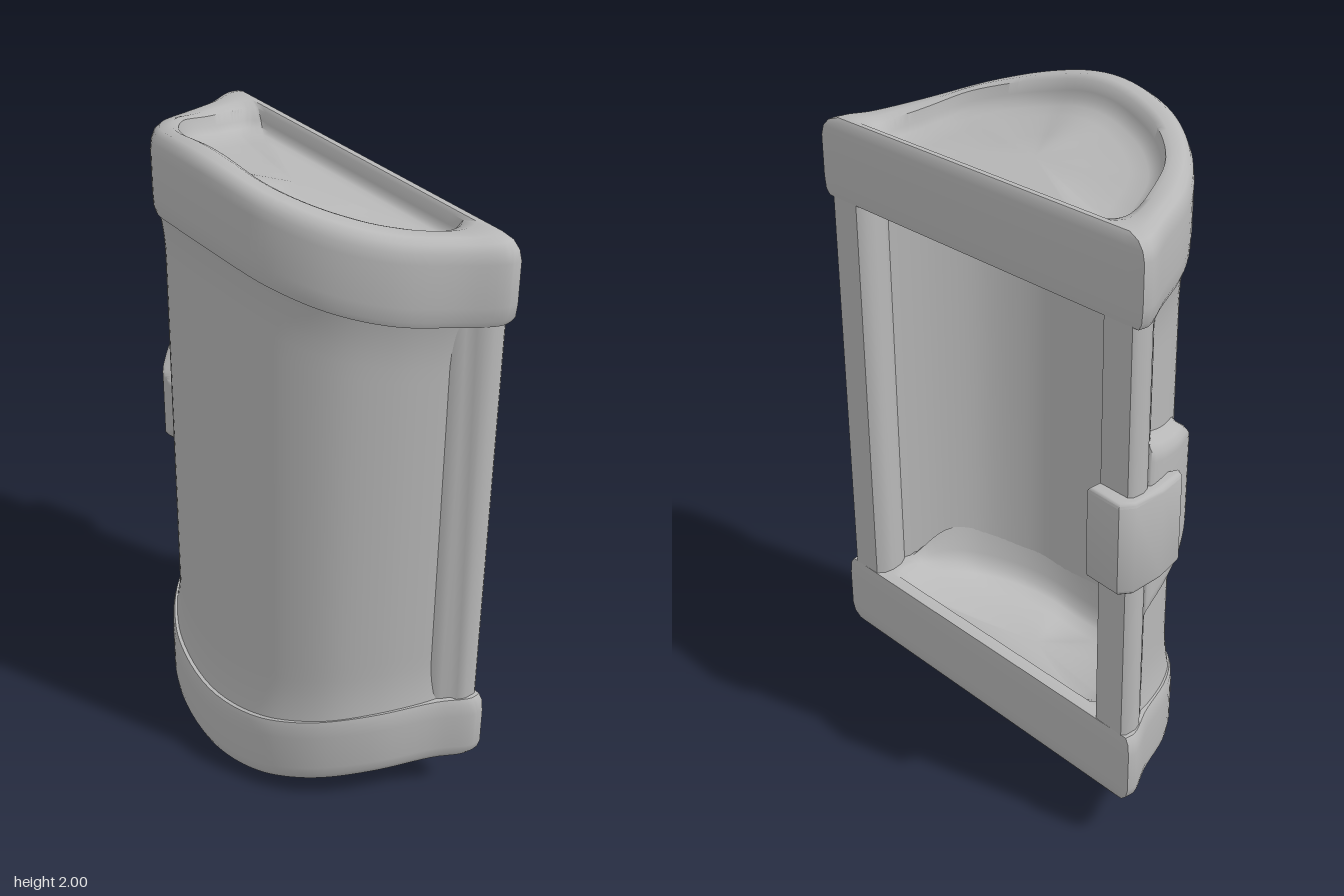
import * as THREE from 'three';
import { toCreasedNormals } from 'three/addons/utils/BufferGeometryUtils.js';

const shellGrey = new THREE.MeshStandardMaterial({ color: 0xb8b8b8 });
shellGrey.name = 'shellGrey';

// Symmetric horizontal curve from +x round the front to -x, given its +x half (front centre last)
function arc(half) {
  const left = half.slice(0, -1).reverse().map(([x, z]) => [-x, z]);
  return new THREE.CatmullRomCurve3(
    [...half, ...left].map(([x, z]) => new THREE.Vector3(x, 0, z)), false, 'centripetal');
}
const outerArc = arc([[0.63, -0.265], [0.63, -0.232], [0.575, -0.13], [0.5, 0.03],
  [0.4, 0.155], [0.3, 0.228], [0.2, 0.27], [0, 0.297]]);
const innerArc = arc([[0.43, -0.222], [0.455, -0.19], [0.46, -0.14], [0.43, -0.05],
  [0.38, 0.055], [0.27, 0.145], [0.15, 0.19], [0, 0.203]]);
const wallArc = arc([[0.56, -0.2], [0.53, -0.1], [0.48, 0.01], [0.4, 0.12],
  [0.3, 0.195], [0.2, 0.238], [0, 0.265]]);

// The rims arch upward (and downward) towards the front centre
const lift = (x) => 0.14 * Math.pow(Math.max(0, 1 - (x / 0.6) ** 2), 1.5);

// Surface through a grid of points: grid[i][j] = [x, y, z]
function loft(name, grid, flip) {
  const n = grid[0].length, index = [];
  for (let i = 0; i < grid.length - 1; i++) {
    for (let j = 0; j < n - 1; j++) {
      const a = i * n + j, b = a + n, c = b + 1, d = a + 1;
      if (flip) index.push(a, d, b, b, d, c);
      else index.push(a, b, d, b, c, d);
    }
  }
  const g = new THREE.BufferGeometry();
  g.setAttribute('position', new THREE.Float32BufferAttribute(grid.flat(2), 3));
  g.setIndex(index);
  return named(name, toCreasedNormals(g, 0.8));
}

function named(name, geometry) {
  const mesh = new THREE.Mesh(geometry, shellGrey);
  mesh.name = name;
  return mesh;
}

// D-shaped rim with a recessed dish; side = 1 for the top, -1 for the bottom
function makeRim(name, side) {
  const loop = [];
  const N = 72, M = 24;
  for (let i = 0; i <= N; i++) {
    const o = outerArc.getPoint(i / N), p = innerArc.getPoint(i / N);
    loop.push({ o, p, rise: lift(o.x), front: THREE.MathUtils.smoothstep(o.z, -0.15, 0.1) });
  }
  for (let i = 1; i <= M; i++) {
    const s = 2 * i / M - 1;
    loop.push({ o: new THREE.Vector3(0.63 * s, 0, -0.265),
      p: new THREE.Vector3(0.43 * s, 0, -0.222), rise: 0, front: 0 });
  }
  // Each row: outer-to-inner blend, height, scale towards the dish centre, fillet drop at the front
  const rows = [
    [1, 0.06, 0, 0], [1, 0.055, 0.4, 0], [1, 0.045, 0.75, 0], [1, 0.02, 0.93, 0], [1, 0, 1, 0],
    [0.85, 0, 1, -0.04], [0.7, 0, 1, -0.12], [0.35, 0, 1, 0],
    [0.08, 0.002, 1, 0], [0.02, 0.02, 1, 0], [0, 0.06, 1, 0], [0, 0.18, 1, 0],
    [0.04, 0.208, 1, 0], [0.14, 0.229, 1, 0], [0.32, 0.24, 1, 0], [0.7, 0.24, 1, 0],
    [0.9, 0.23, 1, 0], [1, 0.2, 1, 0],
    [1, 0.182, 0.97, 0], [1, 0.17, 0.9, 0], [1, 0.165, 0.75, 0], [1, 0.16, 0.4, 0], [1, 0.16, 0, 0],
  ];
  const grid = loop.map(({ o, p, rise, front }) => rows.map(([w, h, k, drop]) => {
    const q = o.clone().lerp(p, w);
    const y = 1.622 + h + drop * front + rise * k + 0.06 * (1 - k);
    return [q.x * k, side > 0 ? y : 2 - y, (q.z + 0.03) * k - 0.03];
  }));
  return loft(name, grid, side > 0);
}

// Point on the wall at parameter t, pushed outward by off
function wallPoint(t, y, off) {
  const p = wallArc.getPoint(t), d = wallArc.getTangent(t);
  return [p.x + d.z * off, y, p.z - d.x * off];
}

// Curved front wall, flaring slightly into the rims
function makeWall(name, off, flip) {
  const grid = [];
  for (let i = 0; i <= 64; i++) {
    const t = i / 64, top = 0.635 + lift(wallArc.getPoint(t).x);
    const row = [];
    for (let j = 0; j <= 32; j++) {
      const v = Math.sin((j / 32 - 0.5) * Math.PI);
      const flare = Math.max(0, Math.abs(v) * top - (top - 0.16)) / 0.16;
      row.push(wallPoint(t, 1 + v * top, off + (off === 0 ? 0.016 * flare * flare : 0)));
    }
    grid.push(row);
  }
  return loft(name, grid, flip);
}

// Wall parameter at a given x
function wallT(x) {
  let lo = 0, hi = 1;
  for (let i = 0; i < 30; i++) {
    const m = (lo + hi) / 2;
    if (wallArc.getPoint(m).x > x) lo = m; else hi = m;
  }
  return lo;
}

// Soft plate that follows the wall around the latch
function makeLatchPlate(name, base, height, flip) {
  // x, half height, raised amount
  const outline = new THREE.CatmullRomCurve3([
    [-0.375, 0.07, -0.12], [-0.395, 0.1, 0.6], [-0.415, 0.135, 0.95], [-0.46, 0.195, 1],
    [-0.51, 0.22, 1], [-0.54, 0.245, 1], [-0.559, 0.31, 0.6],
  ].map((p) => new THREE.Vector3(...p)), false, 'centripetal');
  const section = [[-1.12, -0.1], [-1.04, 0.15], [-0.98, 0.65], [-0.9, 0.95], [-0.8, 1], [-0.4, 1], [0, 1]];
  const full = [...section, ...section.slice(0, -1).reverse().map(([v, h]) => [-v, h])];
  const grid = [];
  for (let i = 0; i <= 30; i++) {
    const q = outline.getPoint(i / 30), t = wallT(q.x);
    grid.push(full.map(([v, h]) => wallPoint(t, 1 + v * q.y, base + height * Math.min(h, q.z))));
  }
  return loft(name, grid, flip);
}

// Upright prism from an x-z outline
function prism(name, points, y0, y1, bevel) {
  const shape = new THREE.Shape(points.map(([x, z]) => new THREE.Vector2(x, -z)));
  const g = new THREE.ExtrudeGeometry(shape, {
    depth: y1 - y0 - 2 * bevel, bevelEnabled: bevel > 0, bevelSize: bevel,
    bevelThickness: bevel, bevelOffset: -bevel, bevelSegments: 3,
  });
  g.rotateX(-Math.PI / 2).translate(0, y0 + bevel, 0);
  return named(name, toCreasedNormals(g, 0.75));
}

export function createModel() {
  const model = new THREE.Group();
  model.name = 'curvedPodDoor';

  // Rims and wall
  model.add(makeRim('topRim', 1), makeRim('bottomRim', -1));
  model.add(makeWall('outerWall', 0, true), makeWall('innerWall', -0.035, false));

  // Rounded side posts with a raised rib along the front edge
  for (const [side, name] of [[1, 'leftPost'], [-1, 'rightPost']]) {
    const post = [[0.595, -0.262], [0.605, -0.25], [0.606, -0.215], [0.596, -0.19], [0.578, -0.18],
      [0.566, -0.155], [0.552, -0.138], [0.53, -0.125], [0.505, -0.14], [0.483, -0.17],
      [0.475, -0.21], [0.478, -0.24], [0.495, -0.26]];
    model.add(prism(name, post.map(([x, z]) => [x * side, z]), 0.36, 1.64, 0));
  }

  // Latch on the model's right edge
  const latch = new THREE.Group();
  latch.name = 'latch';
  latch.add(makeLatchPlate('latchPlate', 0, 0.045, true));
  latch.add(makeLatchPlate('latchInnerPlate', -0.035, -0.015, false));
  latch.add(prism('latchClip', [[-0.485, -0.2], [-0.485, -0.298], [-0.605, -0.303], [-0.63, -0.265],
    [-0.626, -0.16], [-0.602, -0.065], [-0.58, -0.052], [-0.55, -0.13]], 0.865, 1.145, 0.014));
  model.add(latch);

  return model;
}
